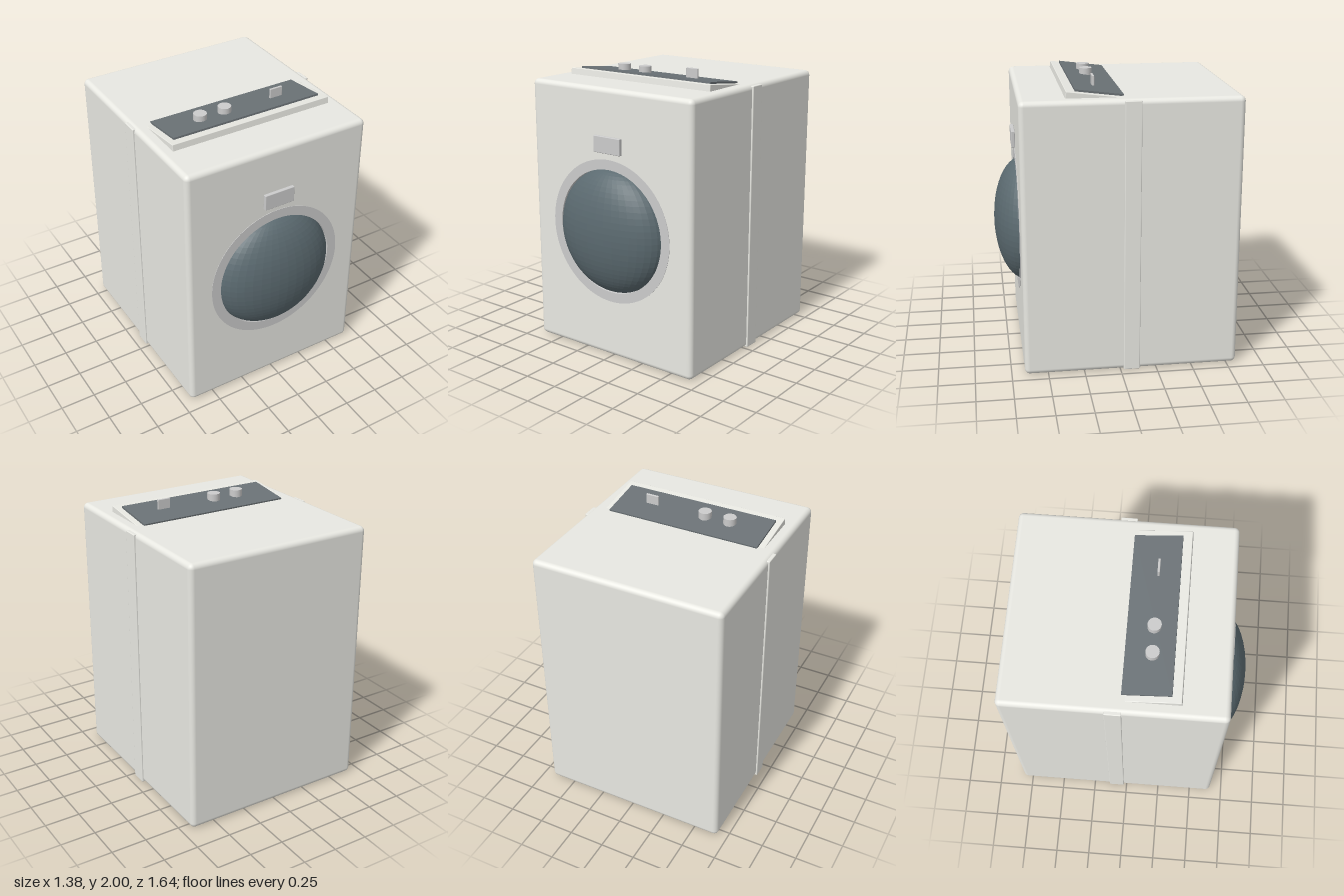
import * as THREE from 'three';
import { RoundedBoxGeometry } from 'three/addons/geometries/RoundedBoxGeometry.js';
import { toCreasedNormals } from 'three/addons/utils/BufferGeometryUtils.js';

const material = (color, flatShading = false) => new THREE.MeshStandardMaterial({ color, flatShading });

function add(parent, name, geometry, mat, x = 0, y = 0, z = 0) {
  const mesh = new THREE.Mesh(geometry, mat);
  mesh.name = name;
  mesh.position.set(x, y, z);
  parent.add(mesh);
  return mesh;
}

// Rounded box without the flat middle of its front face
function openFrontBox(w, h, d, r) {
  const source = new RoundedBoxGeometry(w, h, d, 4, r);
  const pos = source.attributes.position, nor = source.attributes.normal;
  const p = [], n = [];
  const flatFront = (i) => pos.getZ(i) > d / 2 - 1e-4;
  for (let i = 0; i < pos.count; i += 3) {
    if (flatFront(i) && flatFront(i + 1) && flatFront(i + 2)) continue;
    for (let k = i; k < i + 3; k++) {
      p.push(pos.getX(k), pos.getY(k), pos.getZ(k));
      n.push(nor.getX(k), nor.getY(k), nor.getZ(k));
    }
  }
  const g = new THREE.BufferGeometry();
  g.setAttribute('position', new THREE.Float32BufferAttribute(p, 3));
  g.setAttribute('normal', new THREE.Float32BufferAttribute(n, 3));
  return g;
}

function circlePath(radius, x = 0, y = 0) {
  return new THREE.Path().absarc(x, y, radius, 0, Math.PI * 2, true);
}

export function createModel() {
  const model = new THREE.Group();
  model.name = 'washingMachine';
  const shell = material(0xe8e8e2);
  const grey = material(0xcccccc);
  const dark = material(0x6b7276);
  const glass = material(0x5b6a70, true);

  // Cabinet, with a round opening in the front for the door
  const W = 1.36, H = 1.9, D = 1.48, R = 0.035, midZ = -0.08, frontZ = 0.66, doorY = 0.915;
  const cabinet = new THREE.Group();
  cabinet.name = 'cabinet';
  model.add(cabinet);
  add(cabinet, 'cabinetShell', openFrontBox(W, H, D, R), shell, 0, H / 2, midZ);
  const w = W / 2 - R, h = H / 2 - R;
  const face = new THREE.Shape([
    new THREE.Vector2(-w, -h), new THREE.Vector2(w, -h),
    new THREE.Vector2(w, h), new THREE.Vector2(-w, h),
  ]);
  face.holes.push(circlePath(0.47, 0, doorY - H / 2));
  add(cabinet, 'frontPanel', new THREE.ShapeGeometry(face, 64), shell, 0, H / 2, frontZ);

  // Door: flush ring around a bulging window
  const ring = new THREE.Shape().absarc(0, 0, 0.505, 0, Math.PI * 2, false);
  ring.holes.push(circlePath(0.436));
  const ringGeometry = new THREE.ExtrudeGeometry(ring, { depth: 0.083, bevelEnabled: false, curveSegments: 64 });
  add(model, 'doorRing', toCreasedNormals(ringGeometry, 0.5), grey, 0, doorY, 0.58);
  const dome = add(model, 'doorWindow', new THREE.SphereGeometry(1, 40, 32), glass, 0, doorY, 0.61);
  dome.scale.set(0.44, 0.44, 0.21);

  // Small plate above the door
  add(model, 'frontPlate', new RoundedBoxGeometry(0.225, 0.115, 0.026, 2, 0.005), grey, 0, 1.523, 0.673);

  // Vertical trim strips on both sides
  for (const side of [1, -1]) {
    add(model, side > 0 ? 'leftStrip' : 'rightStrip',
      new RoundedBoxGeometry(0.03, 1.89, 0.112, 2, 0.006), shell, side * 0.676, 0.947, -0.078);
  }

  // Tilted control console, sunk into the top
  const consoleGroup = new THREE.Group();
  consoleGroup.name = 'controlConsole';
  consoleGroup.position.set(0, 1.917, 0.128);
  consoleGroup.rotation.x = -0.125;
  model.add(consoleGroup);
  add(consoleGroup, 'consoleBase', new RoundedBoxGeometry(1.195, 0.1, 0.44, 2, 0.004), shell, 0, -0.05, 0.002);
  add(consoleGroup, 'consolePanel', new THREE.BoxGeometry(1.11, 0.023, 0.322), dark, 0, 0.0015, 0);

  // Knobs and switch
  for (const x of [-0.28, -0.095]) {
    add(model, 'knob', new THREE.CylinderGeometry(0.045, 0.045, 0.058, 32), grey, x, 1.948, 0.143);
  }
  add(model, 'switch', new RoundedBoxGeometry(0.095, 0.08, 0.016, 2, 0.004), grey, 0.308, 1.96, 0.143);

  return model;
}
